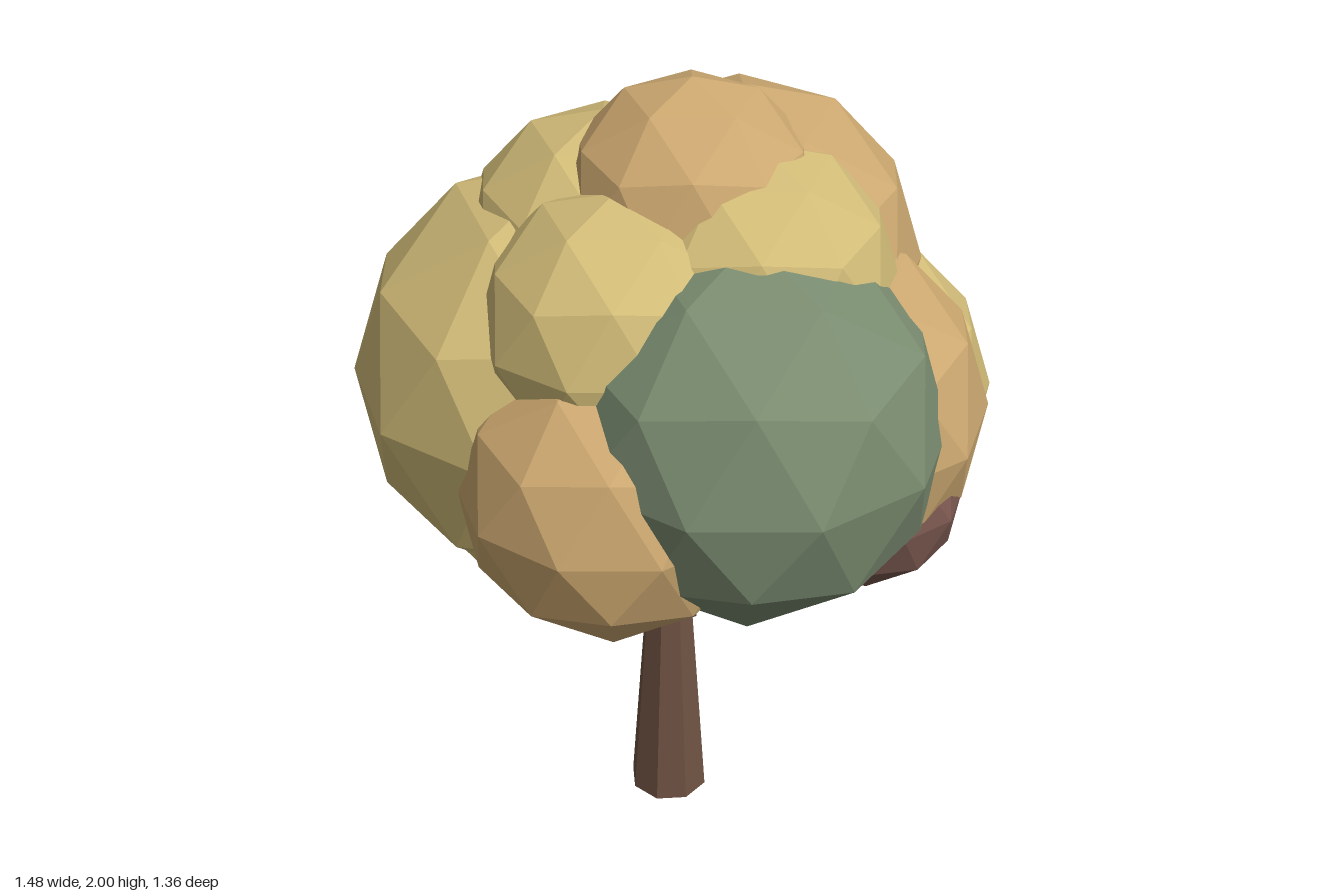
import * as THREE from 'three';

const mat = (color) => new THREE.MeshStandardMaterial({ color, flatShading: true });
const YELLOW = mat(0xd2bc78), ORANGE = mat(0xcca870), GREEN = mat(0x7a8c70), MAUVE = mat(0x7a5850), BARK = mat(0x6e5242);

// Tapered stick between two points
function limb(name, from, to, r0, r1, sides) {
  const a = new THREE.Vector3(...from), b = new THREE.Vector3(...to);
  const dir = b.clone().sub(a);
  const mesh = new THREE.Mesh(new THREE.CylinderGeometry(r1, r0, dir.length(), sides), BARK);
  mesh.name = name;
  mesh.position.copy(a).add(b).multiplyScalar(0.5);
  mesh.quaternion.setFromUnitVectors(new THREE.Vector3(0, 1, 0), dir.normalize());
  return mesh;
}

export function createModel() {
  const tree = new THREE.Group();
  tree.name = 'tree';

  // Trunk and the branches fanning into the crown
  tree.add(limb('trunk', [0.005, 0, -0.03], [0.005, 0.78, -0.03], 0.102, 0.048, 8));
  const tips = [[-0.22, 0.86, 0.02], [0.27, 0.86, -0.05], [0.2, 0.86, -0.27], [0.06, 0.9, 0.18],
    [-0.08, 0.88, -0.27], [-0.1, 0.86, 0.14]];
  for (const tip of tips) tree.add(limb('branch', [0.005, 0.6, -0.03], tip, 0.022, 0.015, 6));
  tree.add(limb('twigStub', [0.03, 0.54, -0.03], [0.075, 0.56, -0.035], 0.014, 0.008, 5));

  // Leaf clumps: one faceted ball with a corner at the top, placed many times
  const ball = new THREE.IcosahedronGeometry(1, 1);
  ball.rotateZ(Math.atan(2 / (1 + Math.sqrt(5))));
  const clumps = [ // material, x, y, z, radius
    [YELLOW, -0.24, 1.235, -0.02, 0.525],
    [YELLOW, -0.2, 1.05, 0.18, 0.29],
    [YELLOW, -0.05, 1.49, 0.185, 0.32],
    [YELLOW, -0.17, 1.55, -0.08, 0.335],
    [YELLOW, 0.215, 1.55, -0.01, 0.33],
    [YELLOW, 0.34, 1.155, -0.28, 0.395],
    [ORANGE, -0.015, 1.155, 0.32, 0.36],
    [ORANGE, 0.05, 1.7, -0.05, 0.3],
    [ORANGE, 0.115, 1.49, -0.23, 0.435],
    [ORANGE, 0.345, 1.22, -0.06, 0.42],
    [ORANGE, 0.02, 1.04, -0.415, 0.265],
    [GREEN, 0.255, 1.28, 0.17, 0.46],
    [GREEN, -0.19, 1.3, -0.23, 0.35],
    [MAUVE, -0.42, 1.04, -0.02, 0.3],
    [MAUVE, 0.5, 1.04, -0.01, 0.23],
  ];
  const crown = new THREE.Group();
  crown.name = 'crown';
  for (const [material, x, y, z, r] of clumps) {
    const clump = new THREE.Mesh(ball, material);
    clump.name = 'leafClump';
    clump.position.set(x, y, z);
    clump.scale.setScalar(r);
    crown.add(clump);
  }
  tree.add(crown);
  return tree;
}
